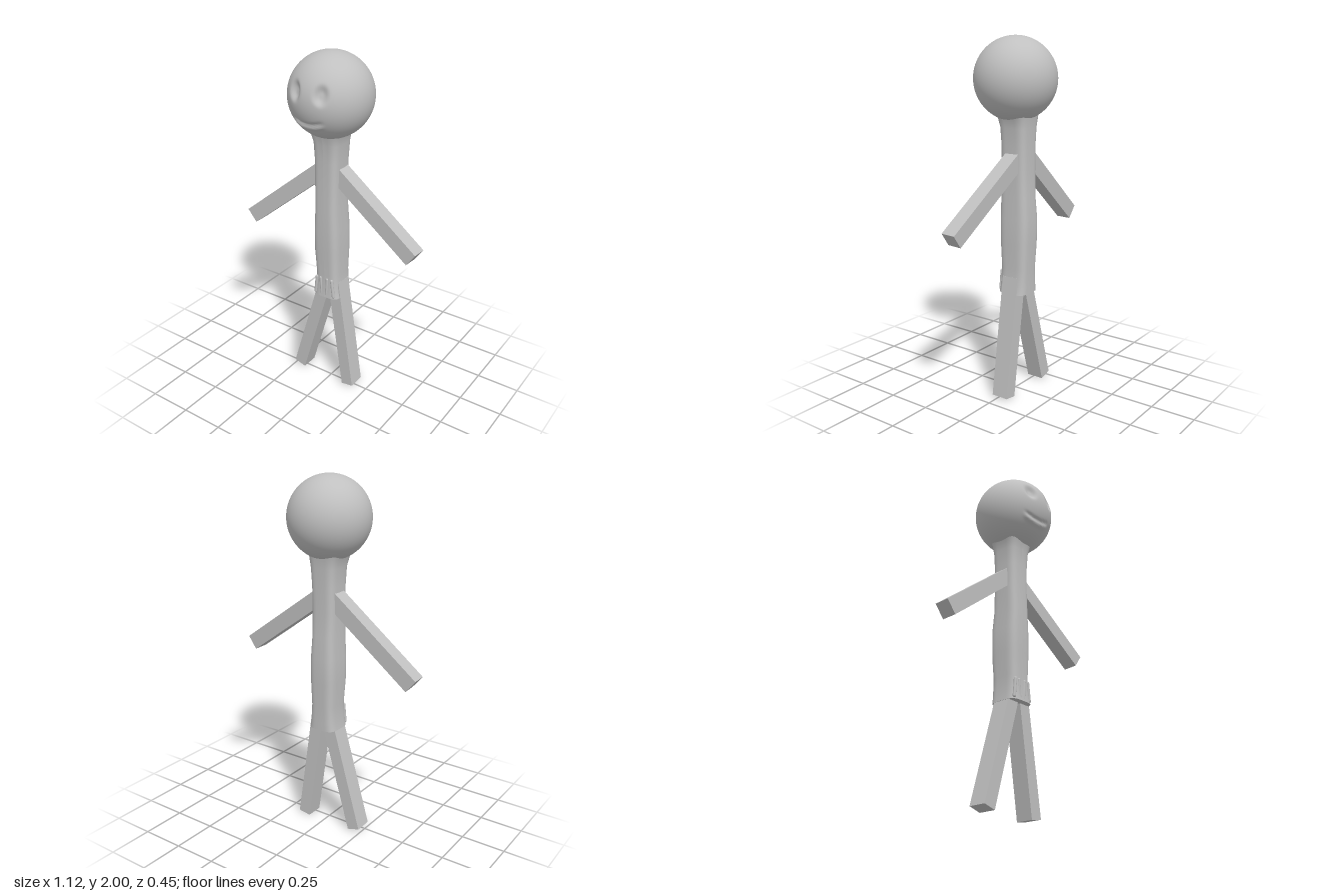
import * as THREE from 'three';

const grey = new THREE.MeshStandardMaterial({ color: 0xc0c0c0 });
grey.name = 'clay grey';

function addMesh(parent, name, geometry) {
  const mesh = new THREE.Mesh(geometry, grey);
  mesh.name = name;
  parent.add(mesh);
  return mesh;
}

// Ball head with two pressed-in eye sockets and a modelled smile.
function headGeometry(radius) {
  const geo = new THREE.SphereGeometry(radius, 128, 80);
  const pos = geo.attributes.position;
  const normal = geo.attributes.normal;
  const v = new THREE.Vector3();
  const n = new THREE.Vector3();
  const bump = (t) => Math.exp(-t * t);
  for (let i = 0; i < pos.count; i++) {
    v.fromBufferAttribute(pos, i);
    if (v.z <= 0) continue;
    let offset = 0;
    for (const side of [-1, 1]) {
      const r = Math.hypot((v.x - side * 0.077) / 0.03, (v.y - 0.055) / 0.042);
      offset -= 0.022 * Math.exp(-Math.pow(r, 4));
    }
    // Smile: a groove along a shallow curve with a raised lip below it
    const x = v.x + 0.012;
    const curve = -0.108 + 2.6 * x * x;
    const fade = Math.exp(-Math.pow(x / 0.088, 8));
    offset += fade * (0.007 * bump((v.y - curve + 0.018) / 0.011) - 0.008 * bump((v.y - curve) / 0.009));
    v.addScaledVector(n.copy(v).normalize(), offset);
    pos.setXYZ(i, v.x, v.y, v.z);
  }
  geo.computeVertexNormals();
  // Keep the seam and the poles smooth
  for (let i = 0; i < pos.count; i++) {
    v.fromBufferAttribute(pos, i);
    if (v.z <= 0.01) {
      v.normalize();
      normal.setXYZ(i, v.x, v.y, v.z);
    }
  }
  return geo;
}

// Body lofted through rounded-rectangle sections: [y, x min, x max, z min, z max].
function torsoGeometry() {
  const sections = [
    [0.60, -0.085, 0.083, -0.100, 0.072],
    [0.64, -0.080, 0.076, -0.100, 0.068],
    [0.74, -0.074, 0.068, -0.100, 0.064],
    [0.88, -0.084, 0.072, -0.106, 0.070],
    [1.02, -0.084, 0.070, -0.108, 0.072],
    [1.15, -0.077, 0.064, -0.098, 0.070],
    [1.28, -0.080, 0.064, -0.094, 0.066],
    [1.42, -0.080, 0.066, -0.095, 0.066],
    [1.52, -0.086, 0.073, -0.098, 0.070],
    [1.58, -0.100, 0.084, -0.102, 0.084],
    [1.63, -0.125, 0.110, -0.112, 0.100],
  ];
  const sides = 40;
  const row = sides + 1;
  const positions = [];
  const indices = [];
  const soften = (t) => Math.sign(t) * Math.pow(Math.abs(t), 0.5);
  for (const [y, x0, x1, z0, z1] of sections) {
    for (let j = 0; j < row; j++) {
      const a = (j / sides) * Math.PI * 2;
      const x = (x0 + x1) / 2 + soften(Math.sin(a)) * (x1 - x0) / 2;
      const z = (z0 + z1) / 2 + soften(Math.cos(a)) * (z1 - z0) / 2;
      positions.push(x, y, z);
    }
  }
  for (let i = 0; i < sections.length - 1; i++) {
    for (let j = 0; j < sides; j++) {
      const a = i * row + j;
      indices.push(a, a + 1, a + row, a + 1, a + row + 1, a + row);
    }
  }
  // Flat underside with its own vertices
  const base = positions.length / 3;
  for (let j = 0; j < row * 3; j++) positions.push(positions[j]);
  positions.push(0, sections[0][0], -0.015);
  for (let j = 0; j < sides; j++) indices.push(base + row, base + j + 1, base + j);

  const geo = new THREE.BufferGeometry();
  geo.setAttribute('position', new THREE.Float32BufferAttribute(positions, 3));
  geo.setIndex(indices);
  geo.computeVertexNormals();
  return geo;
}

// Square bar running from one point to another.
function addBar(parent, name, from, to, width, depth) {
  const a = new THREE.Vector3(...from);
  const b = new THREE.Vector3(...to);
  const along = b.clone().sub(a);
  const bar = addMesh(parent, name, new THREE.BoxGeometry(width, along.length(), depth));
  const yAxis = along.clone().normalize();
  const xAxis = new THREE.Vector3().crossVectors(yAxis, new THREE.Vector3(0, 0, 1)).normalize();
  const zAxis = new THREE.Vector3().crossVectors(xAxis, yAxis);
  bar.quaternion.setFromRotationMatrix(new THREE.Matrix4().makeBasis(xAxis, yAxis, zAxis));
  bar.position.copy(a).add(b).multiplyScalar(0.5);
}

export function createModel() {
  const model = new THREE.Group();
  model.name = 'stickFigure';

  addMesh(model, 'head', headGeometry(0.225)).position.y = 1.775;
  addMesh(model, 'torso', torsoGeometry());

  // Arms
  addBar(model, 'rightArm', [-0.03, 1.374, -0.022], [-0.53, 0.96, 0.009], 0.088, 0.084);
  addBar(model, 'leftArm', [0.02, 1.362, -0.022], [0.53, 1.0, 0.009], 0.086, 0.084);

  // Legs
  addBar(model, 'rightLeg', [-0.02, 0.68, -0.015], [-0.212, 0.018, -0.015], 0.075, 0.1);
  addBar(model, 'leftLeg', [0.036, 0.69, -0.015], [0.137, 0.008, -0.015], 0.073, 0.1);

  // Small gathered folds at the front of the hem
  for (const [x, lean] of [[-0.06, -0.008], [-0.025, 0.006], [0.012, -0.005], [0.05, 0.01]]) {
    const fold = addMesh(model, 'hemFold', new THREE.CapsuleGeometry(0.009, 0.1, 4, 10));
    fold.position.set(x, 0.665, 0.062);
    fold.rotation.z = lean * 12;
  }
  return model;
}
